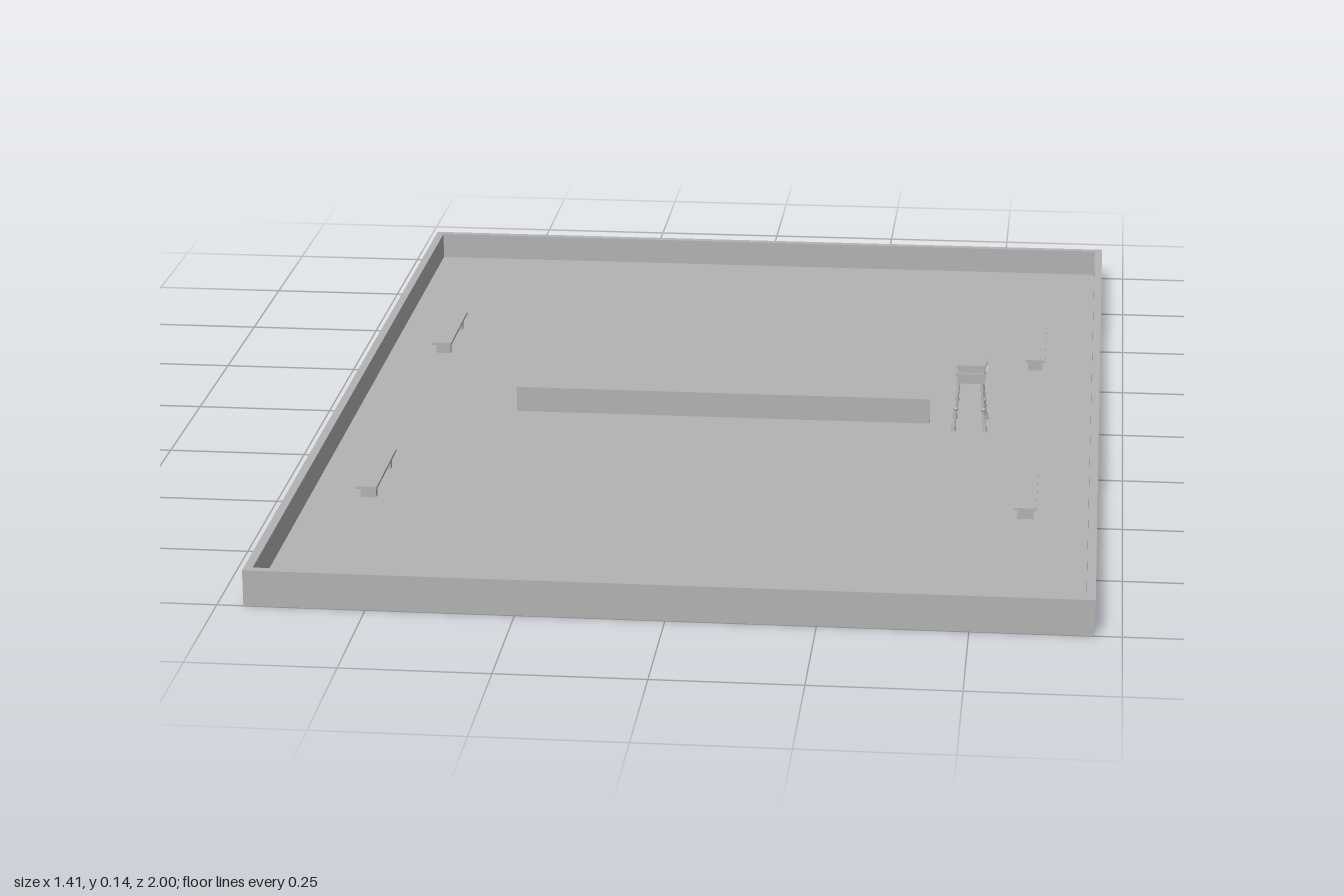
import * as THREE from 'three';

const FLOOR = 0.012;

export function createModel() {
  const model = new THREE.Group();
  const grey = new THREE.MeshStandardMaterial({ color: 0xb3b3b3 });
  grey.name = 'grey';

  const add = (parent, name, geometry, x, y, z) => {
    const mesh = new THREE.Mesh(geometry, grey);
    mesh.name = name;
    mesh.position.set(x, y, z);
    parent.add(mesh);
    return mesh;
  };
  const box = (parent, name, w, h, d, x, y, z) =>
    add(parent, name, new THREE.BoxGeometry(w, h, d), x, y, z);

  // Round bar between two points
  const bar = (parent, name, a, b, r0, r1 = r0) => {
    const dir = b.clone().sub(a);
    const mid = a.clone().add(b).multiplyScalar(0.5);
    const mesh = add(parent, name, new THREE.CylinderGeometry(r1, r0, dir.length(), 10), mid.x, mid.y, mid.z);
    mesh.quaternion.setFromUnitVectors(new THREE.Vector3(0, 1, 0), dir.normalize());
    return mesh;
  };

  // Court floor
  box(model, 'floor', 1.40, FLOOR, 1.99, 0, FLOOR / 2, 0);

  // Surrounding wall: one frame with a rectangular opening
  const rect = (path, w, d) => path.moveTo(-w, -d).lineTo(w, -d).lineTo(w, d).lineTo(-w, d).closePath();
  const outline = rect(new THREE.Shape(), 0.705, 1);
  outline.holes.push(rect(new THREE.Path(), 0.69, 0.985));
  const frame = new THREE.ExtrudeGeometry(outline, { depth: 0.063, bevelEnabled: false });
  frame.rotateX(-Math.PI / 2);
  add(model, 'wall', frame, 0, 0, 0);

  // Net across the middle
  box(model, 'net', 0.78, 0.048, 0.004, 0, FLOOR + 0.024, 0);

  // Four benches, each a plank on two supports
  for (const x of [-0.585, 0.58]) {
    for (const z of [-0.415, 0.415]) {
      const bench = new THREE.Group();
      bench.name = 'bench';
      bench.position.set(x, FLOOR, z);
      box(bench, 'benchSeat', 0.038, 0.005, 0.205, 0, 0.0255, 0);
      for (const s of [-1, 1]) box(bench, 'benchSupport', 0.028, 0.023, 0.012, 0, 0.0115, s * 0.075);
      model.add(bench);
    }
  }

  // High umpire chair facing the net
  const chair = new THREE.Group();
  chair.name = 'umpireChair';
  chair.position.set(0.465, 0, 0);
  model.add(chair);
  box(chair, 'chairSeat', 0.044, 0.005, 0.046, 0, 0.103, 0);
  for (const s of [-1, 1]) {
    // Side panel, wider at the armrest than at the seat
    const side = new THREE.Shape();
    side.moveTo(-0.022, 0.101).lineTo(0.024, 0.101).lineTo(0.028, 0.121).lineTo(-0.028, 0.121).closePath();
    const panel = new THREE.ExtrudeGeometry(side, { depth: 0.004, bevelEnabled: false });
    add(chair, 'armrestPanel', panel, 0, 0, s * 0.023 - 0.002);
    for (const f of [-1, 1]) {
      const foot = new THREE.Vector3(f * 0.029, FLOOR, s * 0.036);
      const top = new THREE.Vector3(f * 0.021, 0.103, s * 0.021);
      bar(chair, 'chairLeg', foot, top, 0.0028);
      add(chair, 'chairFoot', new THREE.CylinderGeometry(0.0035, 0.005, 0.012, 10), foot.x, FLOOR + 0.006, foot.z);
      add(chair, 'legJoint', new THREE.SphereGeometry(0.0045, 10, 8), f * 0.0255, 0.052, s * 0.0293);
    }
  }
  // Leaning backrest with clipped upper corners
  const back = new THREE.Shape();
  back.moveTo(-0.022, 0).lineTo(0.022, 0).lineTo(0.024, 0.024).lineTo(0.018, 0.034)
    .lineTo(-0.018, 0.034).lineTo(-0.024, 0.024).closePath();
  const backGeometry = new THREE.ExtrudeGeometry(back, { depth: 0.004, bevelEnabled: false });
  backGeometry.rotateY(Math.PI / 2).rotateZ(-0.22);
  add(chair, 'backrest', backGeometry, 0.022, 0.102, 0);

  return model;
}
